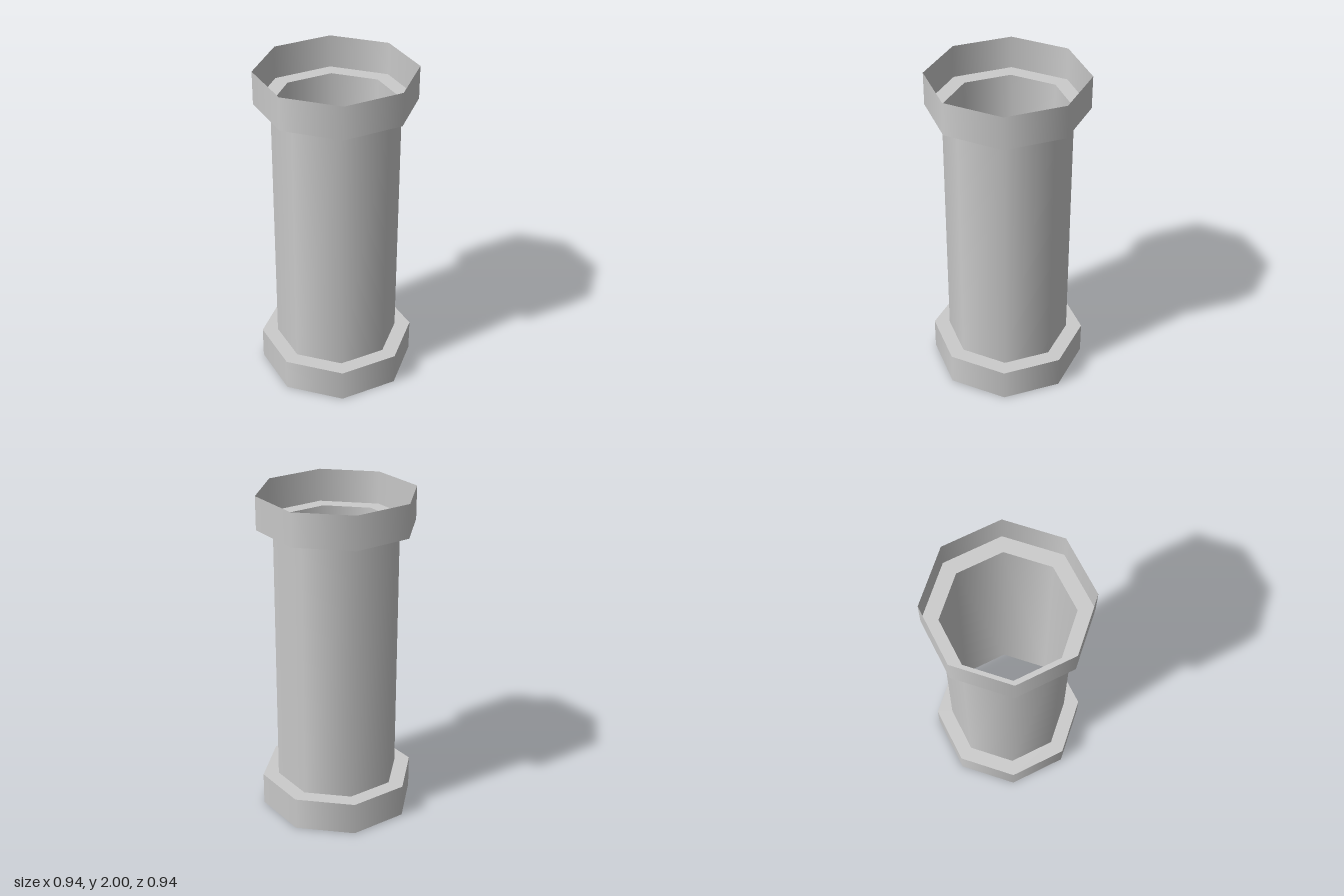
import * as THREE from 'three';

const SIDES = 8;
const TUBE_RADIUS = 0.375;
const COLLAR_RADIUS = 0.472;
const HEIGHT = 2;
const COLLAR_HEIGHT = 0.2;

const material = new THREE.MeshStandardMaterial({ color: 0xcccccc, side: THREE.DoubleSide });

// Open eight-sided wall with smooth normals, standing on y = base
function wall(name, radius, base, height) {
  const geometry = new THREE.CylinderGeometry(radius, radius, height, SIDES, 1, true);
  const mesh = new THREE.Mesh(geometry, material);
  mesh.name = name;
  mesh.position.y = base + height / 2;
  return mesh;
}

// Flat ledge joining the tube to a collar
function ledge(name, y) {
  const geometry = new THREE.RingGeometry(TUBE_RADIUS, COLLAR_RADIUS, SIDES, 1);
  geometry.rotateX(-Math.PI / 2);
  const mesh = new THREE.Mesh(geometry, material);
  mesh.name = name;
  mesh.position.y = y;
  return mesh;
}

export function createModel() {
  const model = new THREE.Group();
  model.name = 'flangedPipe';

  // Hollow shaft between the two ledges
  model.add(wall('shaft', TUBE_RADIUS, COLLAR_HEIGHT, HEIGHT - 2 * COLLAR_HEIGHT));

  // Thin open collar and its ledge at each end
  const ends = [
    { name: 'bottom', base: 0, ledgeY: COLLAR_HEIGHT },
    { name: 'top', base: HEIGHT - COLLAR_HEIGHT, ledgeY: HEIGHT - COLLAR_HEIGHT },
  ];
  for (const { name, base, ledgeY } of ends) {
    model.add(wall(`${name}Collar`, COLLAR_RADIUS, base, COLLAR_HEIGHT));
    model.add(ledge(`${name}Ledge`, ledgeY));
  }

  return model;
}
